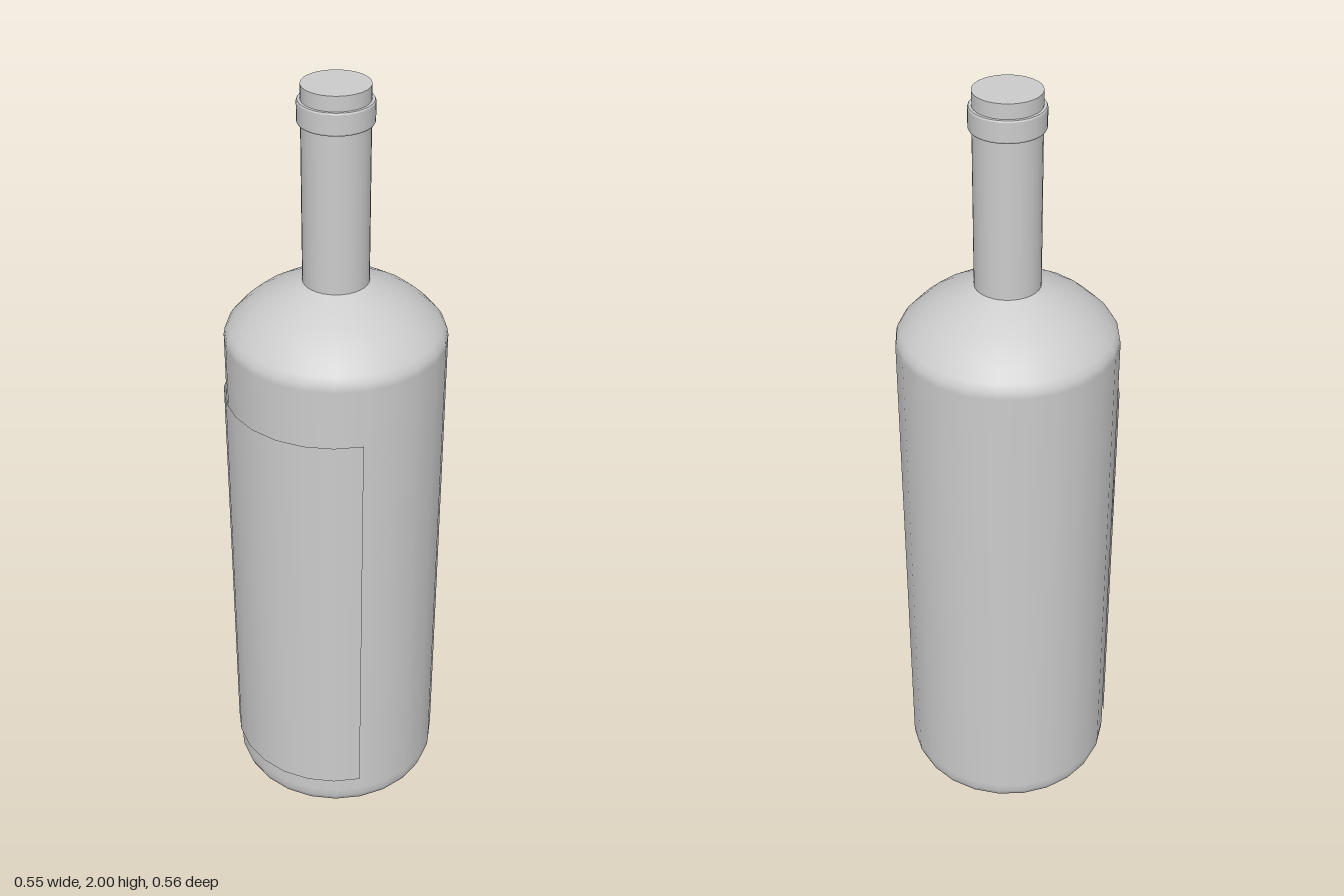
import * as THREE from 'three';

const material = new THREE.MeshStandardMaterial({ color: 0xcccccc });
const labelMaterial = new THREE.MeshStandardMaterial({ color: 0xcccccc, side: THREE.DoubleSide });

// Turned part; each profile is one smooth run, listed from bottom to top as [radius, y]
function turned(name, profile, segments, mat = material, start = 0, sweep = Math.PI * 2) {
  const points = profile.map(([r, y]) => new THREE.Vector2(r, y));
  const mesh = new THREE.Mesh(new THREE.LatheGeometry(points, segments, start, sweep), mat);
  mesh.name = name;
  return mesh;
}

export function createModel() {
  const model = new THREE.Group();
  model.name = 'bottle';

  const glass = new THREE.Group();
  glass.name = 'glass';
  glass.position.z = -0.004;
  model.add(glass);

  // Base, straight wall and rounded shoulder
  glass.add(
    turned('base', [[0, 0.003], [0.235, 0.003]], 24),
    turned('body', [
      [0.235, 0.003], [0.252, 0.006], [0.266, 0.017], [0.273, 0.035], [0.275, 0.06],
      [0.275, 1.36], [0.272, 1.377], [0.262, 1.393], [0.243, 1.413], [0.21, 1.443],
      [0.17, 1.468], [0.125, 1.492], [0.081, 1.512],
    ], 24),
  );

  // Neck with a flat, closed mouth
  glass.add(
    turned('neck', [[0.081, 1.5], [0.081, 2]], 32),
    turned('mouth', [[0.081, 2], [0, 2]], 32),
  );

  // Raised collar below the mouth, one mesh per crisp-edged face
  const collar = new THREE.Group();
  collar.name = 'collar';
  const ring = [[0.08, 1.91], [0.088, 1.91], [0.09, 1.914], [0.09, 1.96], [0.088, 1.964], [0.08, 1.964]];
  for (let i = 0; i < ring.length - 1; i++) {
    collar.add(turned('collarFace', [ring[i], ring[i + 1]], 32));
  }
  glass.add(collar);

  // Thin label wrapped around the front third
  const label = turned('label', [[0.275, 0.1], [0.275, 1.21]], 8, labelMaterial, -Math.PI / 3, Math.PI * 2 / 3);
  label.position.z = 0.003;
  model.add(label);

  return model;
}
